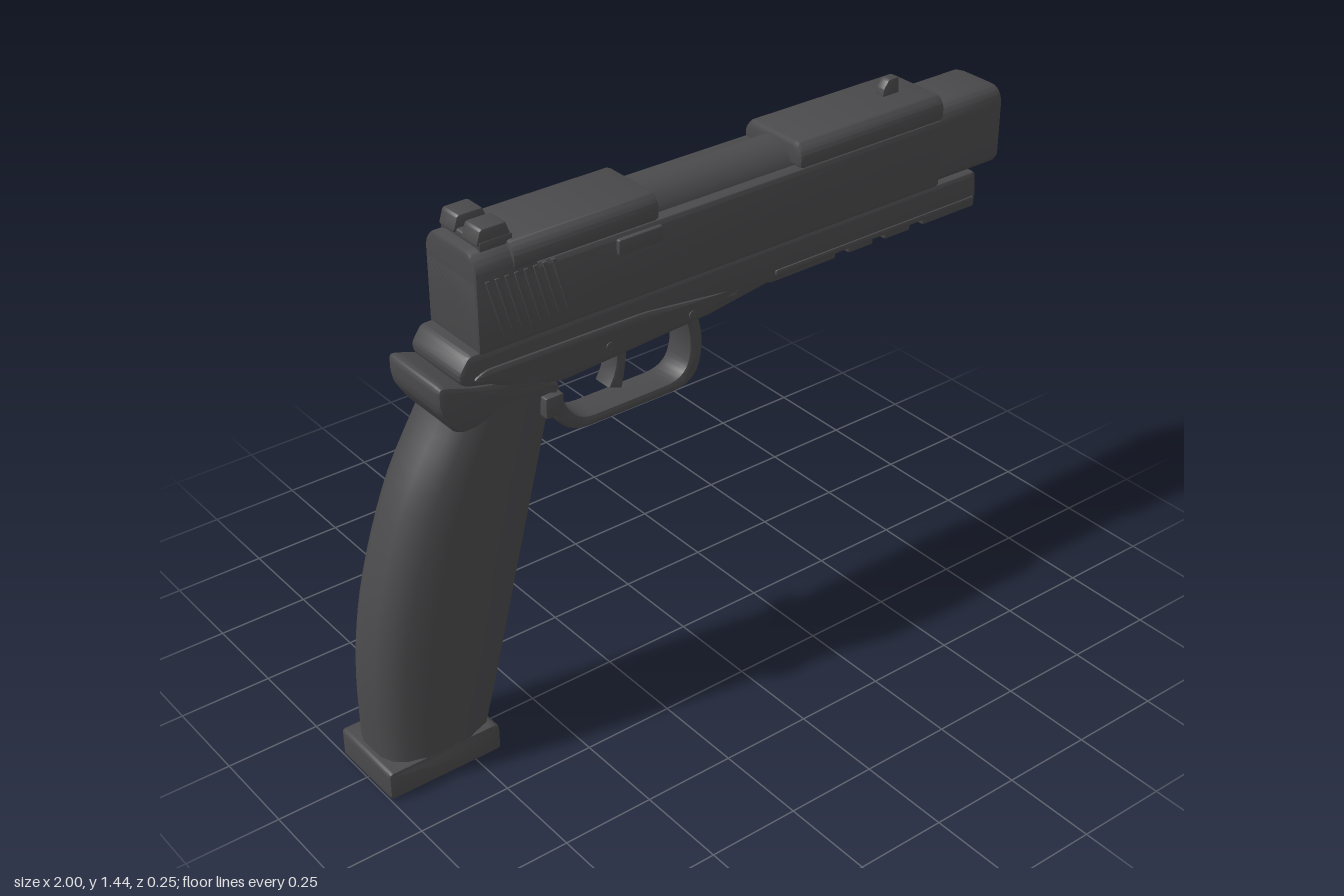
import * as THREE from 'three';
import { toCreasedNormals } from 'three/addons/utils/BufferGeometryUtils.js';

const metal = new THREE.MeshStandardMaterial({ color: 0x4a4a4c });
metal.name = 'dark grey';

// Closed outline through the points, with corners rounded by r
function outline(points, r, Type = THREE.Shape) {
  const path = new Type();
  const v = points.map(([x, y]) => new THREE.Vector2(x, y));
  v.forEach((p, i) => {
    const prev = v[(i + v.length - 1) % v.length], next = v[(i + 1) % v.length];
    const cut = (q) => p.clone().lerp(q, Math.min(0.48, r / p.distanceTo(q)));
    const a = cut(prev), b = cut(next);
    if (i === 0) path.moveTo(a.x, a.y); else path.lineTo(a.x, a.y);
    path.quadraticCurveTo(p.x, p.y, b.x, b.y);
  });
  path.closePath();
  return path;
}

// Extrusion from 0 to length, with a bevel kept inside the outline
function bevelled(shape, length, bevel) {
  return new THREE.ExtrudeGeometry(shape, {
    depth: length - 2 * bevel, curveSegments: 6, bevelEnabled: bevel > 0,
    bevelThickness: bevel, bevelSize: bevel, bevelOffset: -bevel, bevelSegments: 2,
  }).translate(0, 0, bevel);
}

const sidePart = (shape, z0, z1, bevel = 0.006) =>
  bevelled(shape, z1 - z0, bevel).translate(0, 0, z0);

const lengthPart = (shape, x0, x1, bevel = 0.006) =>
  bevelled(shape, x1 - x0, bevel).rotateY(Math.PI / 2).translate(x0, 0, 0);

// Cross-section across the width: half width at the base and top, with cut upper corners
const section = (w, y0, y1, cut, r = 0.012) => outline([
  [-w, y0], [w, y0], [w, y1 - cut], [w - cut * 0.8, y1], [-w + cut * 0.8, y1], [-w, y1 - cut]], r);

const box = (x0, x1, y0, y1, z0, z1, bevel = 0.004) =>
  sidePart(outline([[x0, y0], [x1, y0], [x1, y1], [x0, y1]], 0.006), z0, z1, bevel);

// Grip body lofted from cross-sections between its back and front curves
function gripGeometry() {
  const curve = (pts) => new THREE.SplineCurve(pts.map(([x, y]) => new THREE.Vector2(x, y)));
  const back = curve([[-0.98, 0.06], [-0.98, 0.3], [-0.945, 0.53], [-0.86, 0.78], [-0.75, 0.97], [-0.72, 1.04]]);
  const front = curve([[-0.695, 0.06], [-0.635, 0.27], [-0.575, 0.5], [-0.51, 0.75], [-0.455, 0.97], [-0.44, 1.03]]);
  const half = [[0, 0.04], [0.05, 0.075], [0.15, 0.1], [0.32, 0.112], [0.75, 0.112], [0.96, 0.09], [1, 0.065]];
  const ring = [...half, ...half.map(([u, w]) => [u, -w]).reverse()];
  const rows = 24, n = ring.length, pos = [], index = [];
  for (let i = 0; i <= rows; i++) {
    const a = back.getPoint(i / rows), b = front.getPoint(i / rows);
    for (const [u, w] of ring) pos.push(a.x + (b.x - a.x) * u, a.y + (b.y - a.y) * u, w);
  }
  for (let i = 0; i < rows; i++) {
    for (let j = 0; j < n; j++) {
      const a = i * n + j, b = i * n + (j + 1) % n;
      index.push(a, b, a + n, b, b + n, a + n);
    }
  }
  const g = new THREE.BufferGeometry();
  g.setAttribute('position', new THREE.Float32BufferAttribute(pos, 3));
  g.setIndex(index);
  return g;
}

export function createModel() {
  const model = new THREE.Group();
  model.name = 'pistol';
  const add = (name, geometry) => {
    const mesh = new THREE.Mesh(toCreasedNormals(geometry, 0.55), metal);
    mesh.name = name;
    model.add(mesh);
    return mesh;
  };

  // Grip and its base
  add('grip', gripGeometry());
  add('magazineBase', sidePart(outline([[-1, 0], [-0.675, 0], [-0.675, 0.07], [-0.69, 0.082], [-1, 0.082]], 0.012), -0.115, 0.115, 0.01));

  // Rear tang above the grip
  add('tang', sidePart(outline([
    [-0.74, 0.95], [-0.79, 1.03], [-0.79, 1.1], [-0.74, 1.085], [-0.7, 1.07], [-0.5, 1.03], [-0.44, 0.97]], 0.025), -0.112, 0.112, 0.02));

  // Frame under the slide
  add('frame', sidePart(outline([
    [-0.73, 1.1], [-0.7, 1.145], [0.905, 1.14], [0.912, 1.06], [0.2, 1.04], [0, 1.012], [-0.44, 0.985], [-0.6, 1.03], [-0.72, 1.07]], 0.015), -0.104, 0.104, 0.012));
  add('frameSkirt', sidePart(outline([
    [-0.7, 1.08], [-0.66, 1.1], [-0.2, 1.095], [0.1, 1.06], [0, 1.02], [-0.44, 0.99], [-0.58, 1.02]], 0.02), -0.112, 0.112, 0.014));

  // Accessory rail with cross slots
  add('railStrip', box(0.21, 0.9, 1.054, 1.07, -0.108, 0.108));
  for (const [x0, x1] of [[0.2, 0.42], [0.465, 0.55], [0.59, 0.68], [0.725, 0.912]]) {
    add('railTooth', box(x0, x1, 1.032, 1.065, -0.095, 0.095));
  }

  // Trigger guard and trigger
  const guard = outline([[-0.49, 1.03], [-0.455, 0.93], [-0.4, 0.79], [0, 0.79], [0.035, 0.9], [0, 1.035]], 0.075);
  guard.holes.push(outline([[-0.42, 1.03], [-0.415, 0.92], [-0.365, 0.818], [-0.035, 0.818], [-0.005, 0.9], [-0.035, 1.025]], 0.06, THREE.Path));
  add('triggerGuard', sidePart(guard, -0.045, 0.045, 0.007));
  const trigger = new THREE.Shape();
  trigger.moveTo(-0.265, 1.03);
  trigger.quadraticCurveTo(-0.2, 0.95, -0.255, 0.865);
  trigger.lineTo(-0.215, 0.85);
  trigger.quadraticCurveTo(-0.19, 0.95, -0.2, 1.03);
  trigger.closePath();
  add('trigger', sidePart(trigger, -0.03, 0.03));

  // Slide: lower body, tall rear end, and two raised top covers
  add('slideBody', lengthPart(section(0.105, 1.135, 1.325, 0.01), -0.67, 0.768, 0.008));
  add('slideRear', lengthPart(section(0.105, 1.14, 1.388, 0.035, 0.02), -0.67, -0.5, 0.008));
  const cover = section(0.11, 1.325, 1.392, 0.025);
  add('rearCover', lengthPart(cover, -0.57, -0.155, 0.01));
  add('frontCover', lengthPart(cover, 0.28, 0.768, 0.014));

  // Barrel showing through the port
  add('barrelHood', new THREE.CylinderGeometry(0.078, 0.078, 0.5, 32)
    .rotateZ(Math.PI / 2).translate(0.06, 1.302, 0));
  add('portWall', box(-0.16, 0.285, 1.3, 1.345, -0.104, -0.08));

  // Muzzle block with a flared bore and inner barrel
  const muzzle = section(0.096, 1.14, 1.355, 0.03, 0.025);
  const bore = new THREE.Path();
  bore.absarc(0, 1.225, 0.026, 0, Math.PI * 2, true);
  muzzle.holes.push(bore);
  add('muzzleBlock', lengthPart(muzzle, 0.72, 1, 0.022));
  const tube = [[0, 0.9], [0.02, 0.9], [0.02, 0.985], [0.026, 0.99], [0.034, 0.985], [0.034, 0.9]];
  add('barrelTip', new THREE.LatheGeometry(tube.map(([r, x]) => new THREE.Vector2(r, x)).reverse(), 24)
    .rotateZ(-Math.PI / 2).translate(0, 1.225, 0)).material = metal;

  // Sights
  add('rearSightBase', box(-0.64, -0.55, 1.38, 1.405, -0.08, 0.08));
  for (const s of [-1, 1]) {
    const post = outline([[-0.648, 1.395], [-0.635, 1.436], [-0.565, 1.436], [-0.55, 1.395]], 0.008);
    add('rearSightPost', sidePart(post, s * 0.046 - 0.032, s * 0.046 + 0.032));
  }
  add('frontSight', sidePart(outline([[0.635, 1.38], [0.638, 1.41], [0.655, 1.434], [0.69, 1.434], [0.692, 1.38]], 0.006), -0.015, 0.015, 0.004));

  // Slanted grip ribs, frame pins and release buttons on both sides
  for (const s of [-1, 1]) {
    for (let i = 0; i < 8; i++) {
      const x = -0.605 + i * 0.026;
      const rib = outline([[x, 1.17], [x + 0.012, 1.17], [x - 0.03, 1.32], [x - 0.042, 1.32]], 0.002);
      add('slideRib', sidePart(rib, s * 0.105 - 0.004, s * 0.105 + 0.004, 0.001));
    }
    for (const [x, y] of [[-0.31, 1.04], [-0.06, 1.04]]) {
      add('framePin', new THREE.CylinderGeometry(0.011, 0.011, 0.012, 16)
        .rotateX(Math.PI / 2).translate(x, y, s * 0.109));
    }
    add('releaseButton', box(-0.508, -0.456, 0.915, 0.972, s * 0.11 - 0.016, s * 0.11 + 0.016));
  }

  // Extractor on one side, slide lever on the other
  add('extractor', box(-0.28, -0.15, 1.27, 1.312, 0.095, 0.116));
  add('slideLever', sidePart(outline([[-0.36, 1.1], [-0.16, 1.1], [-0.12, 1.13], [-0.32, 1.13]], 0.008), -0.116, -0.09, 0.004));

  return model;
}
